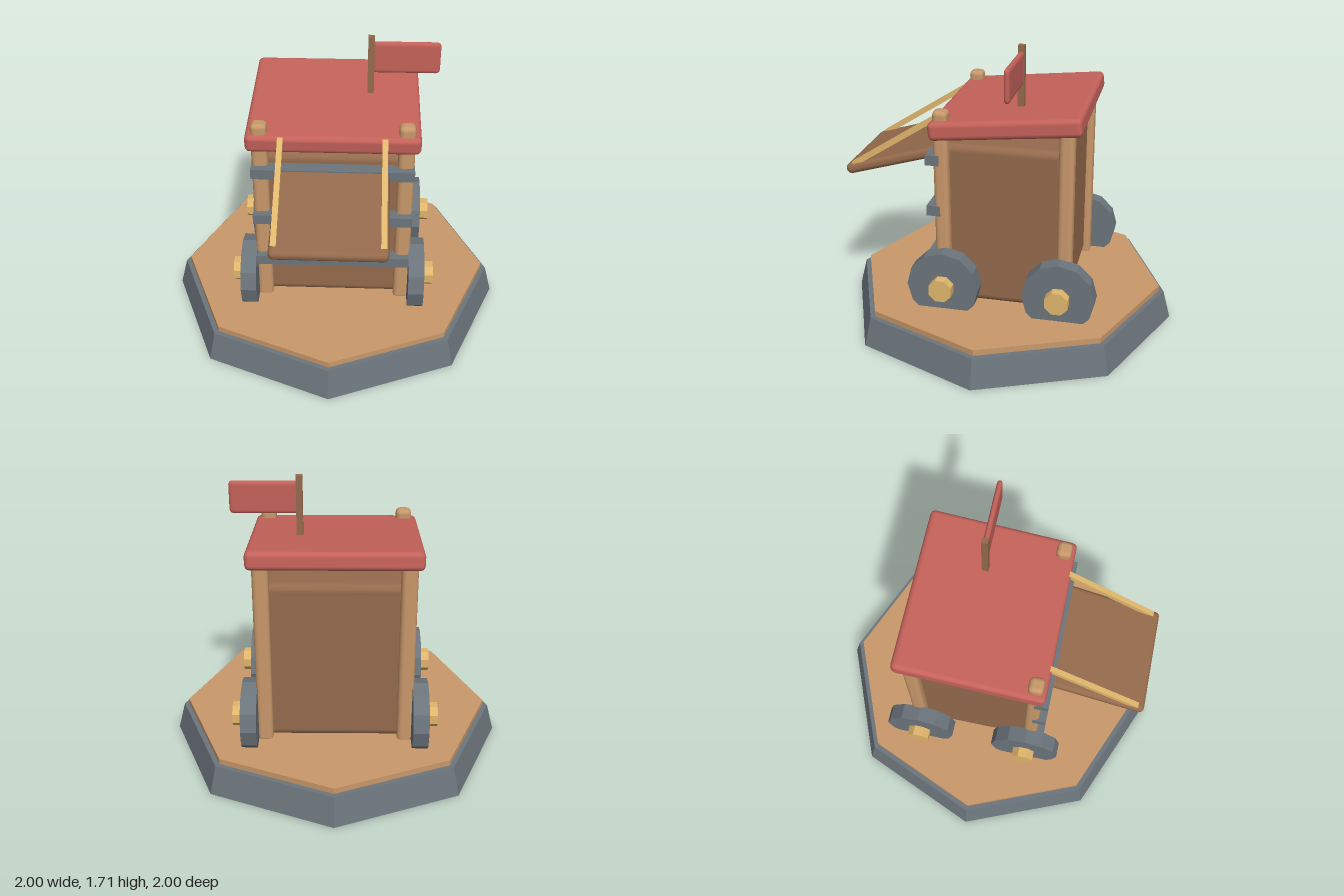
import * as THREE from 'three';
import { RoundedBoxGeometry } from 'three/addons/geometries/RoundedBoxGeometry.js';

function paint(name, color) {
  const m = new THREE.MeshStandardMaterial({ color });
  m.name = name;
  return m;
}

// Cylinder with crisp facets
function prism(top, bottom, height, sides, turn = 0) {
  const g = new THREE.CylinderGeometry(top, bottom, height, sides, 1, false, turn).toNonIndexed();
  g.computeVertexNormals();
  return g;
}

const rounded = (w, h, d, r) => new RoundedBoxGeometry(w, h, d, 2, r);

export function createModel() {
  const group = new THREE.Group();
  group.name = 'siegeTower';

  const slate = paint('slate', 0x6c757c);
  const wood = paint('lightWood', 0xc8986a);
  const brown = paint('darkWood', 0x946a4c);
  const gold = paint('rope', 0xe0b66c);
  const red = paint('redCloth', 0xc5625a);

  const add = (name, geometry, material, x = 0, y = 0, z = 0) => {
    const mesh = new THREE.Mesh(geometry, material);
    mesh.name = name;
    mesh.position.set(x, y, z);
    group.add(mesh);
    return mesh;
  };

  // Eight-sided plinth with a thin wooden deck
  add('plinth', prism(0.955, 1, 0.17, 8), slate, 0, 0.085, 0);
  add('deck', prism(0.925, 0.925, 0.035, 8), wood, 0, 0.187, 0);

  // Tower body, reaching to the middle of the posts, and sloping roof
  add('body', rounded(0.81, 0.97, 0.71, 0.045), brown, 0, 0.686, -0.054);
  const roof = add('roof', rounded(0.97, 0.107, 0.855, 0.03), red, 0, 1.3, -0.065);
  roof.rotation.x = 0.1;

  // Corner posts; the front pair pokes through the roof
  for (const side of [-1, 1]) {
    for (const [z, top] of [[0.299, 1.372], [-0.407, 1.31]]) {
      const h = top - 0.185;
      add('cornerPost', rounded(0.092, h, 0.086, 0.028), wood, side * 0.407, 0.185 + h / 2, z);
    }
  }

  // Bands across the front
  for (const y of [0.49, 0.78, 1.086]) {
    add('frontBand', new THREE.BoxGeometry(0.91, 0.06, 0.08), slate, 0, y, 0.345);
  }

  // Wheels with hubs
  for (const side of [-1, 1]) {
    for (const z of [0.28, -0.39]) {
      const wheel = add('wheel', prism(0.21, 0.21, 0.092, 12), slate, side * 0.49, 0.345, z);
      const hub = add('hub', prism(0.071, 0.071, 0.15, 8, Math.PI / 8), gold, side * 0.52, 0.345, z);
      wheel.rotation.z = hub.rotation.z = Math.PI / 2;
    }
  }

  // Lowered drawbridge and its two ropes
  const bridge = add('drawbridge', rounded(0.627, 0.063, 0.612, 0.028), brown, 0, 1.007, 0.624);
  bridge.rotation.x = 0.28;
  for (const side of [-1, 1]) {
    const from = new THREE.Vector3(side * 0.286, 1.295, 0.345);
    const to = new THREE.Vector3(side * 0.286, 0.96, 0.875);
    const along = to.clone().sub(from);
    const rope = add('bridgeRope', new THREE.BoxGeometry(0.031, along.length(), 0.031), gold);
    rope.position.copy(from).add(to).multiplyScalar(0.5);
    rope.quaternion.setFromUnitVectors(new THREE.Vector3(0, 1, 0), along.normalize());
  }

  // Flag on the roof, flattened from a softly bevelled slab
  add('flagPole', new THREE.BoxGeometry(0.037, 0.4, 0.037), brown, 0.201, 1.505, -0.11);
  const flag = rounded(0.386, 0.19, 0.05, 0.024);
  flag.scale(1, 1, 0.64);
  add('flag', flag, red, 0.4, 1.578, -0.11);

  return group;
}
